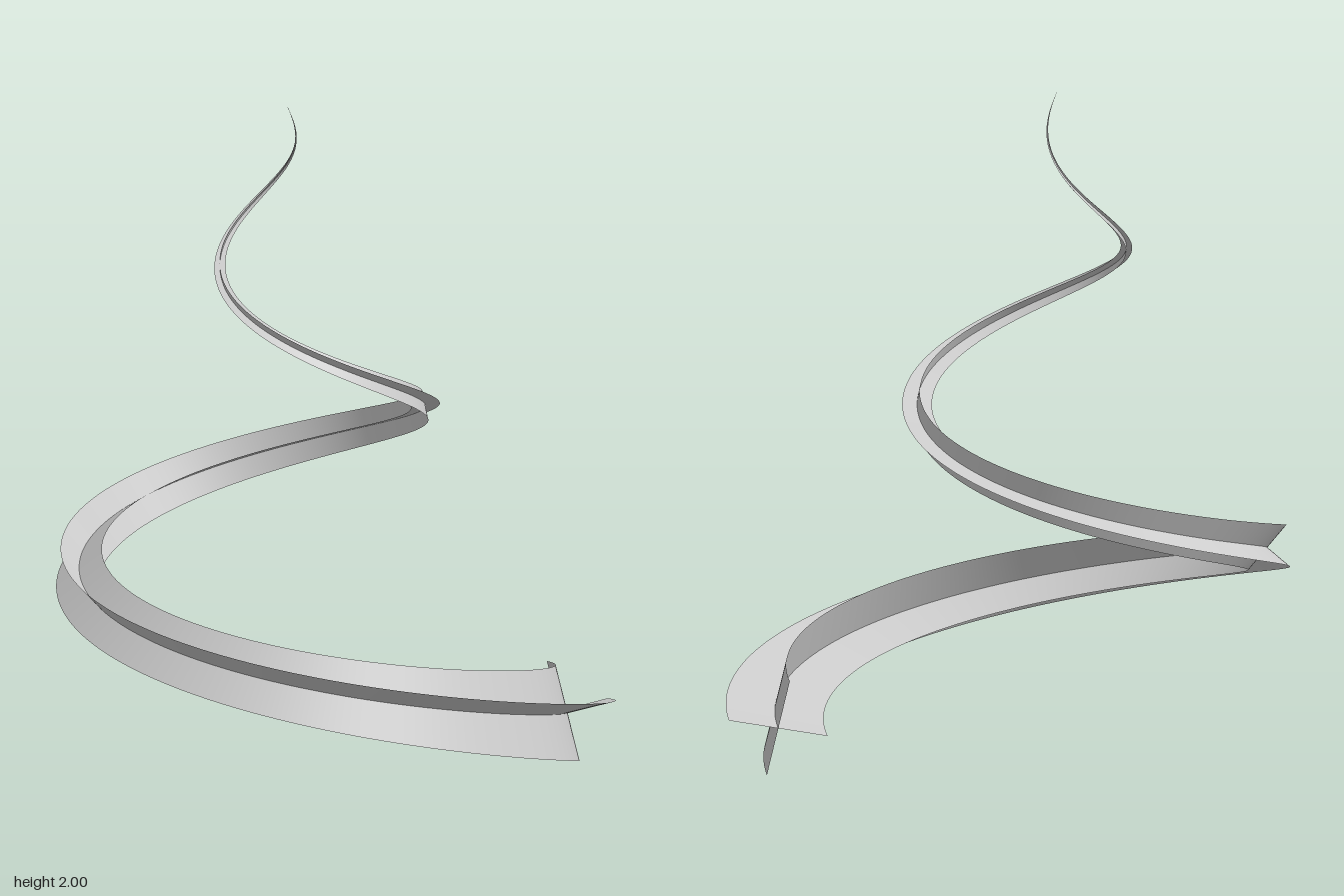
import * as THREE from 'three';

const STEPS = 400;
const SWEEP = 4 * Math.PI; // two full turns
const BASE_RADIUS = 0.836;
const BASE_Y = 0.145, TOP_Y = 2;
const AXIS_X = -0.148, AXIS_Z = -0.124;
const HALF_WIDTH = 0.15;

// Conical spiral that winds in to a point at the top
class ConeSpiral extends THREE.Curve {
  getPoint(t, target = new THREE.Vector3()) {
    const r = BASE_RADIUS * (1 - t), a = SWEEP * t;
    return target.set(
      AXIS_X + r * Math.cos(a),
      BASE_Y + (TOP_Y - BASE_Y) * t,
      AXIS_Z + r * Math.sin(a));
  }
}

// Twist-free frames along the spiral; width shrinks evenly with arc length
function sweepFrames() {
  const curve = new ConeSpiral();
  curve.arcLengthDivisions = 1000;
  const across = new THREE.Vector3(0.29, 0.064, 0.045);
  const frames = [];
  for (let i = 0; i <= STEPS; i++) {
    const u = i / STEPS;
    const tangent = curve.getTangentAt(u);
    across.addScaledVector(tangent, -across.dot(tangent)).normalize();
    frames.push({
      point: curve.getPointAt(u),
      across: across.clone(),
      upright: new THREE.Vector3().crossVectors(tangent, across),
      half: Math.max(HALF_WIDTH * (1 - u), 0.0005),
    });
  }
  return frames;
}

// Flat strip centred on the spiral, spread along one axis of each frame
function ribbon(name, frames, axis, material) {
  const positions = [], index = [];
  frames.forEach((f, i) => {
    for (const side of [-1, 0, 1]) {
      positions.push(...f.point.clone().addScaledVector(f[axis], side * f.half).toArray());
    }
    if (i === 0) return;
    for (let k = 0; k < 2; k++) {
      const a = (i - 1) * 3 + k, b = a + 3;
      index.push(a, b, a + 1, a + 1, b, b + 1);
    }
  });
  const geometry = new THREE.BufferGeometry();
  geometry.setAttribute('position', new THREE.Float32BufferAttribute(positions, 3));
  geometry.setIndex(index);
  geometry.computeVertexNormals();
  const mesh = new THREE.Mesh(geometry, material);
  mesh.name = name;
  return mesh;
}

export function createModel() {
  const group = new THREE.Group();
  group.name = 'spiralStreamer';
  const material = new THREE.MeshStandardMaterial({ color: 0xcccccc, side: THREE.DoubleSide });
  const frames = sweepFrames();
  // Two ribbons crossing at right angles along the same path
  group.add(ribbon('flatRibbon', frames, 'across', material));
  group.add(ribbon('uprightRibbon', frames, 'upright', material));
  return group;
}
